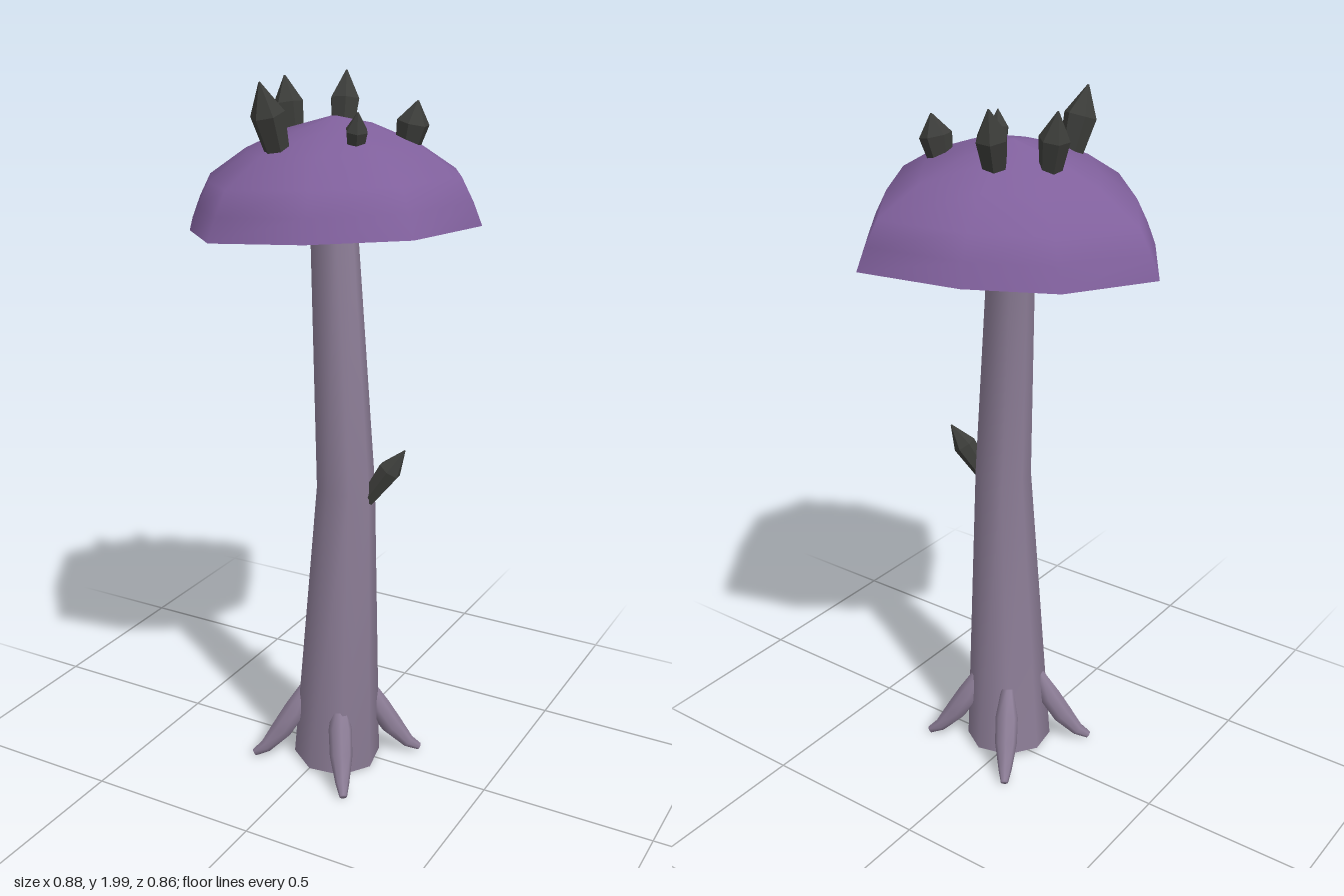
import * as THREE from 'three';
import { toCreasedNormals } from 'three/addons/utils/BufferGeometryUtils.js';

const V = (x, y, z) => new THREE.Vector3(x, y, z);

// Skin a stack of rings (bottom to top), optionally closing either end.
function loft(rings, capBottom = true, capTop = true) {
  const n = rings[0].length, pos = [], idx = [];
  rings.forEach(r => r.forEach(p => pos.push(p.x, p.y, p.z)));
  for (let k = 0; k < rings.length - 1; k++) {
    for (let i = 0; i < n; i++) {
      const a = k * n + i, b = k * n + (i + 1) % n;
      idx.push(a, a + n, b, b, a + n, b + n);
    }
  }
  const cap = (k, up) => {
    const c = rings[k].reduce((s, p) => s.add(p), V(0, 0, 0)).divideScalar(n);
    const ci = pos.length / 3;
    pos.push(c.x, c.y, c.z);
    for (let i = 0; i < n; i++) {
      const a = k * n + i, b = k * n + (i + 1) % n;
      if (up) idx.push(ci, b, a); else idx.push(ci, a, b);
    }
  };
  if (capBottom) cap(0, false);
  if (capTop) cap(rings.length - 1, true);
  const g = new THREE.BufferGeometry();
  g.setAttribute('position', new THREE.Float32BufferAttribute(pos, 3));
  g.setIndex(idx);
  g.computeVertexNormals();
  return g;
}

// Round limb along a path, one radius per point.
function limb(path, radii, sides, side = V(1, 0, 0), twist = 0) {
  return loft(path.map((p, i) => {
    const t = path[Math.min(i + 1, path.length - 1)].clone().sub(path[Math.max(i - 1, 0)]).normalize();
    const e1 = side.clone().addScaledVector(t, -side.dot(t)).normalize();
    const e2 = e1.clone().cross(t);
    return Array.from({ length: sides }, (_, j) => {
      const a = twist + j / sides * Math.PI * 2;
      return p.clone().addScaledVector(e1, radii[i] * Math.cos(a)).addScaledVector(e2, radii[i] * Math.sin(a));
    });
  }));
}

// Faceted pointed crystal from base to tip.
function crystal(base, tip, r, twist) {
  const path = [0, 0.6, 0.99].map(t => base.clone().lerp(tip, t));
  const g = limb(path, [r * 0.65, r, r * 0.05], 6, V(1, 0, 0), twist).toNonIndexed();
  g.computeVertexNormals();
  return g;
}

export function createModel() {
  const model = new THREE.Group();
  const mat = (name, color) => {
    const m = new THREE.MeshStandardMaterial({ color });
    m.name = name;
    return m;
  };
  const stemMat = mat('greyMauve', 0x8c7d96);
  const capMat = mat('purple', 0x80609c);
  const gillMat = mat('darkUnderside', 0x303030);
  const thornMat = mat('charcoal', 0x3c3d3a);
  const add = (name, geo, m) => {
    const mesh = new THREE.Mesh(geo, m);
    mesh.name = name;
    model.add(mesh);
  };

  // Bent stem
  const stem = limb([V(0.03, 0.015, 0.03), V(0.08, 0.9, 0.072), V(0.015, 1.63, 0.025)],
    [0.128, 0.081, 0.063], 8, V(1, 0, 0), 0.2);
  add('stem', toCreasedNormals(stem, 0.95), stemMat);

  // Four roots spread around the foot
  for (let i = 0; i < 4; i++) {
    const a = 1.0 + i * Math.PI / 2;
    const at = (r, y) => V(0.03 + r * Math.cos(a), y, 0.03 + r * Math.sin(a));
    const path = [at(0.25, 0.014), at(0.215, 0.035), at(0.165, 0.095), at(0.125, 0.16), at(0.09, 0.24)];
    add('root', limb(path, [0.011, 0.02, 0.033, 0.034, 0.018], 8, V(-Math.sin(a), 0, Math.cos(a))), stemMat);
  }

  // Irregular tilted cap: scaled copies of the rim outline
  const rim = [[0.16, -0.43], [0.32, -0.2], [0.437, 0.02], [0.37, 0.275], [0.14, 0.4],
    [-0.115, 0.43], [-0.295, 0.245], [-0.44, 0.02], [-0.305, -0.215], [-0.1, -0.35]];
  const ring = ([s, h]) => rim.map(([x, z]) => V(x * s, 1.622 + h + 0.064 * x * s + 0.024 * z * s, z * s));
  add('cap', loft([[1, 0], [0.94, 0.06], [0.86, 0.122], [0.6, 0.192], [0.3, 0.245], [0.02, 0.273]].map(ring),
    false, true), capMat);
  add('capUnderside', loft([[0.5, 0.006], [0.93, 0.006], [1, 0]].map(ring), true, false), gillMat);

  // Crystals on the cap: base, tip, radius
  [
    [[-0.03, 1.81, -0.105], [-0.045, 2.0, -0.157], 0.043],
    [[-0.132, 1.81, -0.02], [-0.168, 1.99, -0.036], 0.041],
    [[0.19, 1.8, -0.043], [0.22, 1.942, -0.05], 0.044],
    [[0.132, 1.81, 0.128], [0.153, 1.928, 0.152], 0.03],
    [[-0.044, 1.8, 0.2], [-0.064, 2.0, 0.26], 0.045],
  ].forEach(([b, t, r], i) => add('capCrystal', crystal(V(...b), V(...t), r, i * 0.7), thornMat));

  // Crystal growing from the stem
  add('stemCrystal', crystal(V(0.145, 0.87, 0.07), V(0.243, 1.022, 0.035), 0.034, 0.3), thornMat);

  return model;
}
